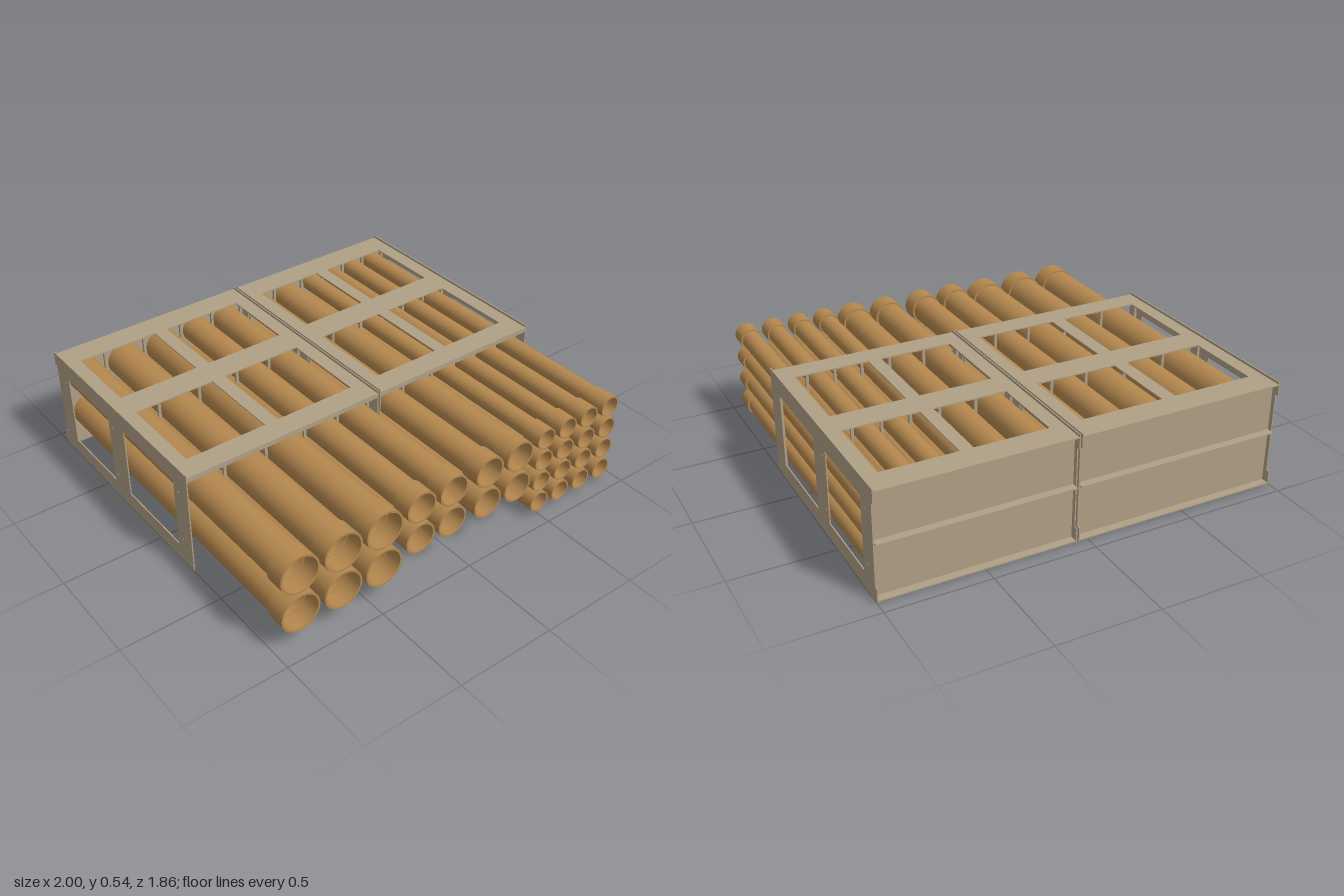
import * as THREE from 'three';

const FRONT = 0.28, BACK = -0.93, TOP = 0.525, HEIGHT = 0.537, T = 0.006;
const Z_WINDOWS = [[-0.8, -0.41], [-0.27, 0.165]];

export function createModel() {
  const model = new THREE.Group();
  const frameMat = new THREE.MeshStandardMaterial({ color: 0xb0a086 });
  frameMat.name = 'tan frame';
  const pipeMat = new THREE.MeshStandardMaterial({ color: 0xb5884f });
  pipeMat.name = 'brown pipe';

  const add = (name, geometry, material, x = 0, y = 0, z = 0) => {
    const mesh = new THREE.Mesh(geometry, material);
    mesh.name = name;
    mesh.position.set(x, y, z);
    model.add(mesh);
    return mesh;
  };
  // Box given by its limits on each axis
  const box = (name, x0, x1, y0, y1, z0, z1) => add(name,
    new THREE.BoxGeometry(x1 - x0, y1 - y0, z1 - z0), frameMat,
    (x0 + x1) / 2, (y0 + y1) / 2, (z0 + z1) / 2);
  const rectPoints = (a0, a1, b0, b1) => [[a0, b0], [a1, b0], [a1, b1], [a0, b1]].map((p) => new THREE.Vector2(...p));
  const sheet = (outline, holes) => {
    const shape = new THREE.Shape(outline);
    for (const h of holes) shape.holes.push(new THREE.Path(rectPoints(...h)));
    return new THREE.ExtrudeGeometry(shape, { depth: T, bevelEnabled: false });
  };

  // Side sheets: two windows, a notched rear edge
  const sideOutline = [[-FRONT, 0], [-BACK, 0], [-BACK, 0.07], [0.913, 0.07], [0.913, 0.467],
    [-BACK, 0.467], [-BACK, HEIGHT], [-FRONT, HEIGHT]].map((p) => new THREE.Vector2(...p));
  const sideGeo = sheet(sideOutline, Z_WINDOWS.map(([a, b]) => [-b, -a, 0.08, 0.443]));
  sideGeo.rotateY(Math.PI / 2);

  const boltGeo = new THREE.CylinderGeometry(0.005, 0.005, 0.004, 8);
  boltGeo.rotateZ(Math.PI / 2);

  const postGeo = new THREE.BoxGeometry(0.014, TOP - T, 0.014);

  // Two cabinets side by side
  const cabinets = [
    { x0: -1, x1: 0.046, windows: [[-0.925, -0.515], [-0.445, -0.03]],
      posts: [-0.982, -0.77, -0.55, -0.335, -0.148, 0.03] },
    { x0: 0.054, x1: 0.998, windows: [[0.13, 0.49], [0.555, 0.92]],
      posts: [0.068, 0.248, 0.428, 0.57, 0.707, 0.845, 0.98] },
  ];
  for (const { x0, x1, windows, posts } of cabinets) {
    add('sidePanel', sideGeo, frameMat, x0);
    add('sidePanel', sideGeo, frameMat, x1 - T);

    // Top sheet with four windows and a folded front lip
    const holes = windows.flatMap(([a, b]) => Z_WINDOWS.map(([c, d]) => [a, b, -d, -c]));
    const topGeo = sheet(rectPoints(x0 + T, x1 - T, -FRONT, -BACK), holes);
    topGeo.rotateX(-Math.PI / 2);
    add('topPanel', topGeo, frameMat, 0, TOP - T, 0);
    box('frontLip', x0 + T, x1 - T, TOP - 0.025, TOP - T, FRONT - T, FRONT);

    // Back sheet and its horizontal ribs
    box('backPanel', x0 + T, x1 - T, 0, TOP - T, -0.892, -0.886);
    for (const y of [0.003, 0.272]) box('backRib', x0 + T, x1 - T, y, y + T, BACK, -0.892);

    // Posts between the pipe columns, hidden under the cross strips
    for (const x of posts)
      for (const z of [0.215, -0.34, -0.855]) add('post', postGeo, frameMat, x, (TOP - T) / 2, z);
  }

  // Bolts on the outer sides
  for (const x of [-1, 0.998])
    for (const z of [0.205, -0.375, -0.84])
      for (const y of [0.135, 0.405]) add('bolt', boltGeo, frameMat, x, y, z);

  // Hollow pipes with a wider socket at the front
  const pipeGeometry = (r, socket) => {
    const wall = r * 0.95;
    const profile = [[wall, -0.88], [r, -0.88], [r, 0.835], [socket, 0.835],
      [socket, 0.93], [r, 0.93], [r, 0.84], [wall, 0.84], [wall, -0.88]];
    // Each straight run is its own surface, so edges stay sharp
    return profile.slice(1).map((p, i) => {
      const g = new THREE.LatheGeometry([profile[i], p].map((q) => new THREE.Vector2(...q)), 40);
      return g.rotateX(Math.PI / 2);
    });
  };
  const pipeSets = [
    { r: 0.088, socket: 0.098, xs: [-0.878, -0.658, -0.44], ys: [0.392, 0.183] },
    { r: 0.07, socket: 0.08, xs: [-0.24, -0.057, 0.153, 0.337], ys: [0.415, 0.243] },
    { r: 0.047, socket: 0.055, xs: [0.498, 0.636, 0.775, 0.914], ys: [0.44, 0.318, 0.197, 0.075] },
  ];
  for (const { r, socket, xs, ys } of pipeSets) {
    const parts = pipeGeometry(r, socket);
    for (const x of xs)
      for (const y of ys) {
        const pipe = new THREE.Group();
        pipe.name = 'pipe';
        for (const g of parts) {
          const mesh = new THREE.Mesh(g, pipeMat);
          mesh.name = 'pipeWall';
          pipe.add(mesh);
        }
        pipe.position.set(x, y, 0);
        model.add(pipe);
      }
  }
  return model;
}
